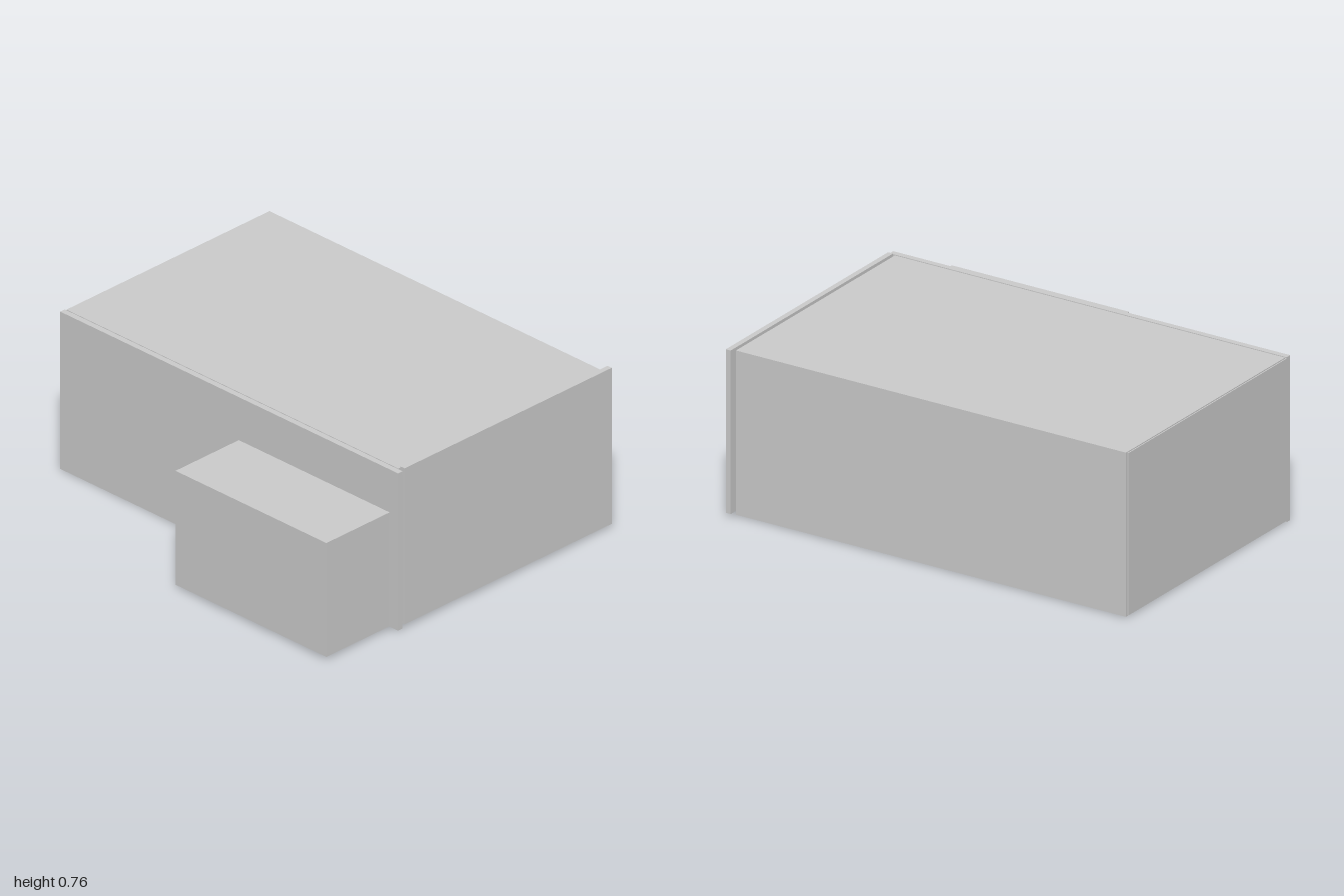
import * as THREE from 'three';

export function createModel() {
  const group = new THREE.Group();
  const material = new THREE.MeshStandardMaterial({ color: 0xcccccc, flatShading: true });

  // Box given by its lower and upper limits on each axis
  const block = (name, [x0, x1], [y0, y1], [z0, z1]) => {
    const mesh = new THREE.Mesh(new THREE.BoxGeometry(x1 - x0, y1 - y0, z1 - z0), material);
    mesh.position.set((x0 + x1) / 2, (y0 + y1) / 2, (z0 + z1) / 2);
    mesh.name = name;
    group.add(mesh);
  };

  // Main case with thin cladding on its right side and underside
  block('case', [-0.995, 0.97], [0.004, 0.755], [-0.8, 0.41]);
  block('rightPanel', [-1, -0.99], [0.008, 0.75], [-0.79, 0.415]);
  block('bottomPanel', [-0.985, 0.97], [0, 0.01], [-0.77, 0.42]);

  // Front plate, and the narrow spacer between it and the left panel
  block('frontPlate', [-1, 1], [0.002, 0.756], [0.415, 0.442]);
  block('spacer', [0.96, 0.99], [0.03, 0.73], [0.395, 0.416]);

  // Overhanging left panel
  block('leftPanel', [0.975, 1], [0.017, 0.765], [-0.832, 0.403]);

  // Small box carried on the front by a mounting plate
  block('mountingPlate', [0.145, 0.39], [0.19, 0.535], [0.4, 0.456]);
  block('frontBox', [0.07, 0.963], [0.014, 0.56], [0.455, 0.832]);

  return group;
}
